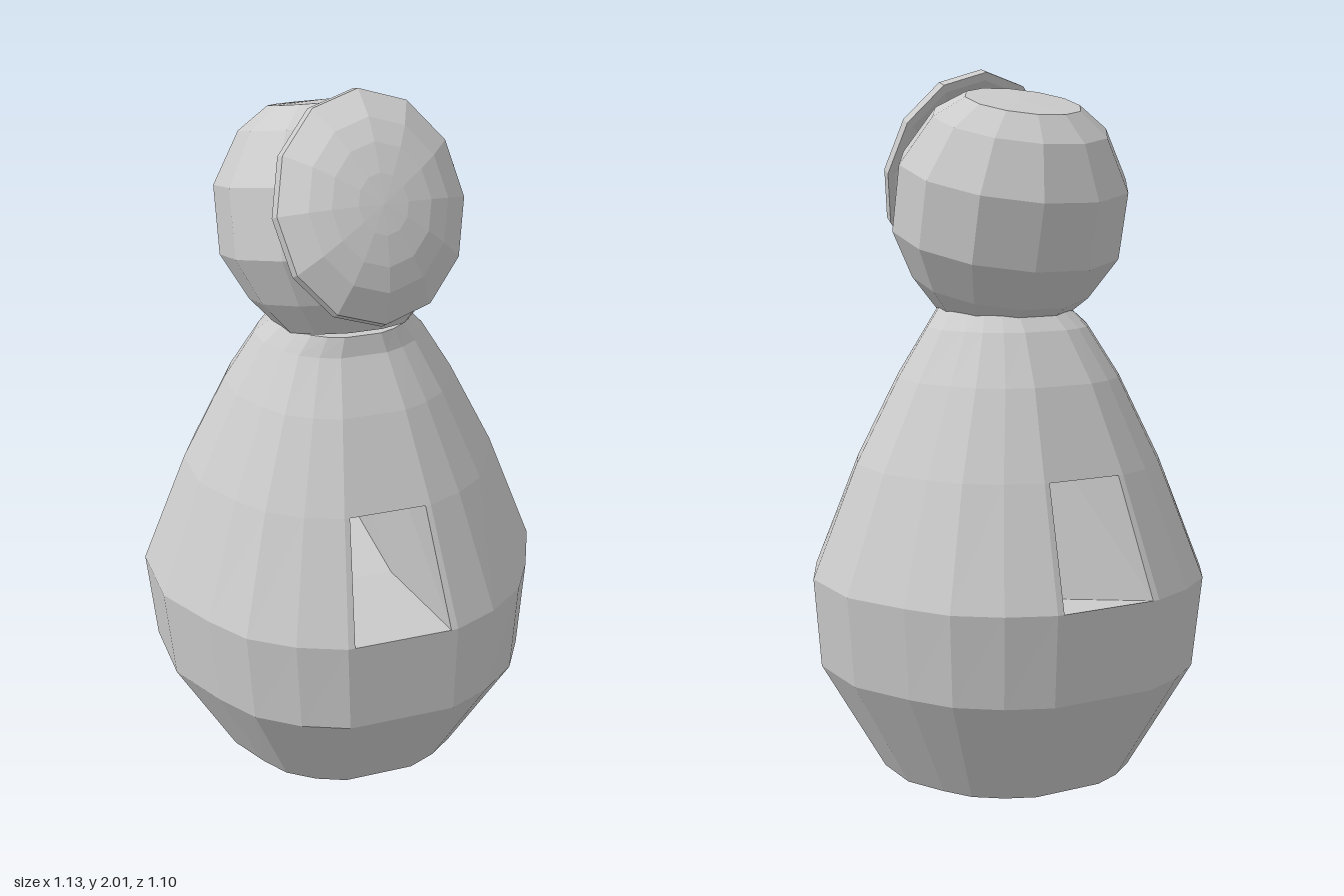
import * as THREE from 'three';

const material = new THREE.MeshStandardMaterial({ color: 0xcccccc, flatShading: true });

// Faceted body with a window running from front to back
function bodyGeometry() {
  // One quarter of the plan outline, from the front middle round to the left side
  const quarter = [[0.248, 1], [0.283, 1], [0.513, 0.9], [0.717, 0.745], [0.85, 0.53], [1, 0.21]];
  const half = [...quarter, ...quarter.map(([x, z]) => [x, -z]).reverse()];
  const outline = [...half, ...half.map(([x, z]) => [-x, -z])];
  const n = outline.length;

  // Height, half width, front z, back z
  const levels = [
    [0, 0.36, 0.37, -0.345],
    [0.32, 0.54, 0.55, -0.525],
    [0.58, 0.565, 0.55, -0.55],
    [0.905, 0.44, 0.415, -0.42],
    [1.145, 0.32, 0.3, -0.31],
    [1.285, 0.235, 0.215, -0.215],
    [1.34, 0.185, 0.205, -0.15],
  ];
  const rings = levels.map(([y, w, front, back]) => outline.map(([x, z]) =>
    [x * w, y, (front + back) / 2 + z * (front - back) / 2]));

  const pos = [];
  const tri = (a, b, c) => pos.push(...a, ...b, ...c);
  const quad = (a, b, c, d) => { tri(a, b, c); tri(a, c, d); };

  // Outer skin, leaving out the front and back window panels
  for (let k = 0; k < rings.length - 1; k++) {
    for (let i = 0; i < n; i++) {
      const j = (i + 1) % n;
      if (k === 2 && (i === n - 1 || i === n / 2 - 1)) continue;
      quad(rings[k][i], rings[k][j], rings[k + 1][j], rings[k + 1][i]);
    }
  }

  // End caps
  const top = rings[rings.length - 1];
  for (let i = 0; i < n; i++) {
    const j = (i + 1) % n;
    tri([0, 0, 0], rings[0][j], rings[0][i]);
    tri([0, 1.34, 0.03], top[i], top[j]);
  }

  // Window tunnel, widening towards its middle
  const [lo, hi] = [rings[2], rings[3]];
  const m = n / 2;
  const front = [lo[n - 1], lo[0], hi[0], hi[n - 1]];
  const middle = [[-0.17, 0.45, 0], [0.17, 0.45, 0], [0.13, 0.94, 0], [-0.13, 0.94, 0]];
  const back = [lo[m], lo[m - 1], hi[m - 1], hi[m]];
  for (const [a, b] of [[front, middle], [middle, back]]) {
    for (let i = 0; i < 4; i++) {
      const j = (i + 1) % 4;
      quad(a[i], a[j], b[j], b[i]);
    }
  }

  const geometry = new THREE.BufferGeometry();
  geometry.setAttribute('position', new THREE.Float32BufferAttribute(pos, 3));
  geometry.computeVertexNormals();
  return geometry;
}

// Faceted turned shape from a radius and height profile, bottom to top
function turned(profile, sides, start = 0) {
  return new THREE.LatheGeometry(profile.map(([r, y]) => new THREE.Vector2(r, y)), sides, start);
}

export function createModel() {
  const group = new THREE.Group();
  const add = (name, geometry) => {
    const mesh = new THREE.Mesh(geometry, material);
    mesh.name = name;
    group.add(mesh);
    return mesh;
  };

  add('body', bodyGeometry());

  // Rounded head leaning back
  const head = add('head', turned([
    [0, -0.33], [0.18, -0.33], [0.26, -0.24], [0.33, -0.11],
    [0.33, 0.08], [0.25, 0.22], [0.165, 0.28], [0, 0.285],
  ], 12, Math.PI / 12));
  head.position.set(0, 1.64, -0.02);
  head.rotation.x = -0.245;

  // Shallow domed face plate with a hollow back
  const face = add('facePlate', turned([
    [0, 0.075], [0.2, 0.05], [0.285, 0], [0.31, 0], [0.305, 0.035],
    [0.225, 0.092], [0.16, 0.115], [0.08, 0.128], [0, 0.132],
  ], 12));
  face.position.set(0, 1.71, 0.235);
  face.rotation.x = 1.186;
  face.scale.x = 0.84;

  return group;
}
